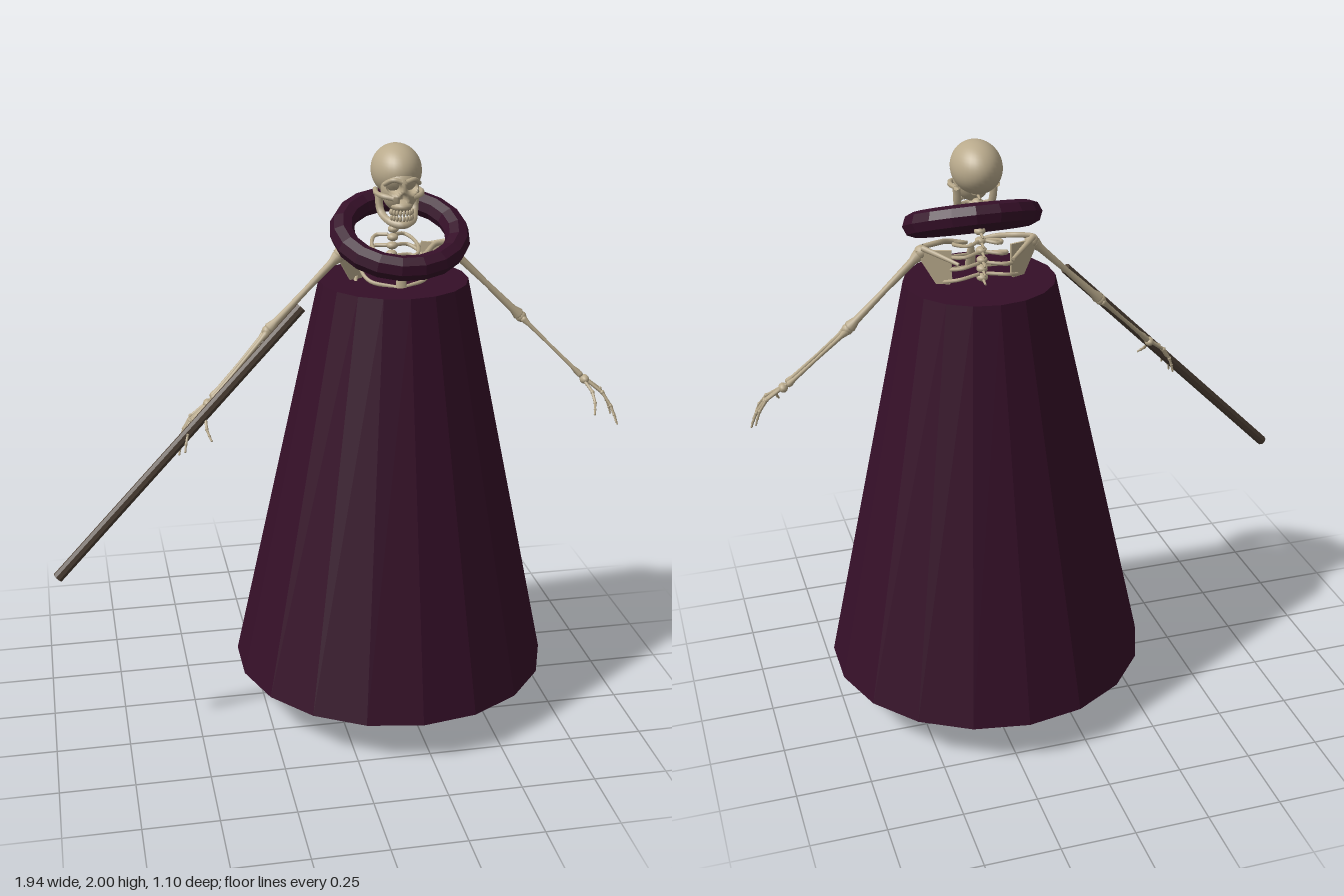
import * as THREE from 'three';

const V = (x, y, z) => new THREE.Vector3(x, y, z);
const bone = new THREE.MeshStandardMaterial({ color: 0xb9aa8c, side: THREE.DoubleSide });
bone.name = 'bone';
const cloth = new THREE.MeshStandardMaterial({ color: 0x350f28, flatShading: true });
cloth.name = 'plumCloth';
const wood = new THREE.MeshStandardMaterial({ color: 0x4c3f34, flatShading: true });
wood.name = 'darkWood';

function add(parent, name, geometry, material = bone) {
  const m = new THREE.Mesh(geometry, material);
  m.name = name;
  parent.add(m);
  return m;
}

// Rod between two points, from radius r0 to r1
function rod(parent, name, a, b, r0, r1 = r0, sides = 10, material = bone) {
  const m = add(parent, name, new THREE.CylinderGeometry(r1, r0, a.distanceTo(b), sides), material);
  m.position.copy(a).lerp(b, 0.5);
  m.quaternion.setFromUnitVectors(V(0, 1, 0), b.clone().sub(a).normalize());
  return m;
}

// Ellipsoid
function ball(parent, name, p, rx, ry = rx, rz = rx, seg = 12) {
  const m = add(parent, name, new THREE.SphereGeometry(1, seg, Math.ceil(seg * 0.7)));
  m.position.copy(p);
  m.scale.set(rx, ry, rz);
  return m;
}

// Long bone: waisted shaft with knobbed ends
function longBone(parent, name, a, b, r) {
  const len = a.distanceTo(b);
  const profile = [[0, 0], [1.3, 0.01], [1.6, 0.04], [1.0, 0.12], [0.75, 0.5], [0.95, 0.88], [1.5, 0.96], [1.2, 0.99], [0, 1]];
  const pts = profile.map(([x, t]) => new THREE.Vector2(x * r, t * len));
  const m = add(parent, name, new THREE.LatheGeometry(pts, 10));
  m.position.copy(a);
  m.quaternion.setFromUnitVectors(V(0, 1, 0), b.clone().sub(a).normalize());
}

function tube(parent, name, points, r, seg = 20) {
  return add(parent, name, new THREE.TubeGeometry(new THREE.CatmullRomCurve3(points), seg, r, 6));
}

function buildSkull(body) {
  const g = new THREE.Group();
  g.name = 'skull';
  body.add(g);
  ball(g, 'cranium', V(0, 1.915, 0.015), 0.082, 0.085, 0.11, 32);

  // Face with eye sockets and nose pushed inward
  const face = new THREE.SphereGeometry(1, 64, 48);
  const p = face.attributes.position;
  for (let i = 0; i < p.count; i++) {
    const x = p.getX(i) * 0.062, y = 1.868 + p.getY(i) * 0.08;
    let z = 0.07 + p.getZ(i) * 0.068;
    if (p.getZ(i) > 0) {
      const eye = Math.hypot((Math.abs(x) - 0.03) / 0.019, (y - 1.876) / 0.018);
      const nose = Math.hypot(x / (0.011 + (1.85 - y) * 0.2), (y - 1.842) / 0.018);
      if (eye < 1.2) z -= 0.045 * Math.min(1, (1.2 - eye) * 2);
      if (nose < 1.1) z -= 0.03 * Math.min(1, (1.1 - nose) * 2);
    }
    p.setXYZ(i, x, y, z);
  }
  face.computeVertexNormals();
  add(g, 'face', face);

  ball(g, 'upperJaw', V(0, 1.815, 0.095), 0.037, 0.02, 0.043, 16);
  tube(g, 'lowerJaw', [V(-0.062, 1.845, 0.03), V(-0.056, 1.785, 0.045), V(-0.035, 1.762, 0.1), V(0, 1.757, 0.128),
    V(0.035, 1.762, 0.1), V(0.056, 1.785, 0.045), V(0.062, 1.845, 0.03)], 0.013, 30);
  for (let i = 0; i < 9; i++) {
    const a = (i - 4) * 0.3;
    for (const y of [1.797, 1.779]) {
      ball(g, 'tooth', V(Math.sin(a) * 0.037, y, 0.094 + Math.cos(a) * 0.043), 0.0055, 0.01, 0.006, 8);
    }
  }
  for (const s of [-1, 1]) {
    tube(g, 'cheekArch', [V(s * 0.03, 1.843, 0.122), V(s * 0.062, 1.848, 0.1), V(s * 0.075, 1.85, 0.06), V(s * 0.068, 1.852, 0.01)], 0.009);
    tube(g, 'brow', [V(s * 0.006, 1.897, 0.134), V(s * 0.033, 1.904, 0.126), V(s * 0.058, 1.886, 0.1)], 0.008);
  }
}

function buildTorso(body) {
  for (let i = 0; i < 14; i++) {
    const y = 1.83 - i * 0.03, z = 0.015 - 0.05 * Math.min(1, i / 7);
    ball(body, 'vertebra', V(0, y, z), 0.019, 0.013, 0.019);
    rod(body, 'vertebraSpine', V(0, y, z), V(0, y - 0.012, z - 0.04), 0.007, 0.003, 6);
  }
  const breast = ball(body, 'breastbone', V(0, 1.55, 0.115), 0.018, 0.085, 0.009);
  breast.rotation.x = -0.2;
  for (const s of [-1, 1]) {
    for (let i = 0; i < 6; i++) {
      const w = Math.min(0.132, 0.075 + i * 0.018), y = 1.685 - i * 0.037, d = 0.05 + i * 0.008;
      tube(body, 'rib', [V(s * 0.012, y, -0.04), V(s * w * 0.65, y - 0.005, -0.06), V(s * w, y - d * 0.4, 0),
        V(s * w * 0.85, y - d * 0.8, 0.07), V(s * 0.015, y - d, 0.1 + i * 0.005)], 0.0065, 24);
    }
    tube(body, 'collarBone', [V(s * 0.018, 1.63, 0.105), V(s * 0.075, 1.645, 0.1), V(s * 0.13, 1.665, 0.04), V(s * 0.18, 1.665, 0.02)], 0.009);

    // Shoulder blade: thin triangular plate with a ridge
    const shape = new THREE.Shape([[0.06, 1.66], [0.175, 1.655], [0.155, 1.615], [0.085, 1.5], [0.06, 1.56]]
      .map(([x, y]) => new THREE.Vector2(s * x, y)));
    const blade = add(body, 'shoulderBlade', new THREE.ExtrudeGeometry(shape, { depth: 0.008, bevelEnabled: false }));
    blade.position.set(s * 0.045, 0, -0.055);
    blade.rotation.y = s * -0.4;
    rod(body, 'bladeRidge', V(s * 0.09, 1.63, -0.085), V(s * 0.185, 1.665, 0.005), 0.006, 0.01, 8);
  }
}

function buildArm(body, s) {
  const g = new THREE.Group();
  g.name = s > 0 ? 'leftArm' : 'rightArm';
  body.add(g);
  const shoulder = V(s * 0.185, 1.645, 0.025), elbow = V(s * 0.435, 1.4, 0.045), wrist = V(s * 0.635, 1.2, 0.115);
  ball(g, 'shoulderJoint', shoulder, 0.024);
  longBone(g, 'upperArm', shoulder, elbow, 0.0135);
  ball(g, 'elbowJoint', elbow, 0.019);
  for (const o of [-0.01, 0.01]) {
    longBone(g, 'forearm', elbow.clone().add(V(0, 0, o)), wrist.clone().add(V(0, 0, o * 1.2)), 0.0075);
  }
  ball(g, 'wristBones', wrist.clone().add(V(s * 0.012, -0.013, 0.006)), 0.016, 0.016, 0.022);
  const tips = [[0.745, 1.06, 0.13], [0.757, 1.04, 0.16], [0.752, 1.04, 0.185], [0.735, 1.06, 0.215], [0.65, 1.1, 0.235]];
  tips.forEach(([x, y, z], i) => {
    const tip = V(s * x, y, z);
    let last = wrist;
    [0.45, 0.72, 0.88, 1].forEach((t, j) => {
      const next = wrist.clone().lerp(tip, t);
      const bulge = 0.02 * Math.sin(t * Math.PI);
      next.add(V(s * bulge, i < 4 ? bulge * 0.6 : 0, 0));
      rod(g, 'fingerBone', last, next, 0.0065 - j * 0.001, 0.005 - j * 0.0006, 7);
      ball(g, 'knuckle', next, 0.0075 - j * 0.0012, undefined, undefined, 8);
      last = next;
    });
  });
}

function buildLeg(body, s) {
  const g = new THREE.Group();
  g.name = s > 0 ? 'leftLeg' : 'rightLeg';
  body.add(g);
  const x = s * 0.12;
  longBone(g, 'shin', V(x - s * 0.008, 0.08, 0.035), V(x, 0.5, 0.03), 0.016);
  longBone(g, 'calfBone', V(x + s * 0.02, 0.08, 0.025), V(x + s * 0.02, 0.5, 0.02), 0.01);
  ball(g, 'ankle', V(x, 0.055, 0.035), 0.025, 0.02, 0.03);
  const heel = ball(g, 'heel', V(x, 0.031, -0.002), 0.022, 0.021, 0.042);
  heel.rotation.x = 0.25;
  ball(g, 'instep', V(x, 0.044, 0.062), 0.028, 0.017, 0.04);
  for (let i = 0; i < 5; i++) {
    const k = i - 2, end = 0.23 - i * 0.012, big = i === 0 ? 1.4 : 1;
    const a = V(x + s * k * 0.009, 0.043, 0.07), b = V(x + s * k * 0.015, 0.018, 0.155 - i * 0.006);
    const c = V(x + s * k * 0.017, 0.016, (b.z + end) / 2), d = V(x + s * k * 0.018, 0.01, end);
    rod(g, 'footBone', a, b, 0.009 * big, 0.007 * big, 8);
    rod(g, 'toeBone', b, c, 0.007 * big, 0.005 * big, 8);
    rod(g, 'toeTip', c, d, 0.006 * big, 0.003 * big, 8);
    ball(g, 'toeJoint', b, 0.01 * big, undefined, undefined, 8);
    ball(g, 'toeJoint', c, 0.007 * big, undefined, undefined, 8);
  }
}

export function createModel() {
  const model = new THREE.Group();
  model.name = 'robedSkeleton';
  const body = new THREE.Group();
  body.name = 'body';
  body.position.x = 0.213;
  model.add(body);

  // Closed conical robe and tilted collar ring
  add(body, 'robe', new THREE.CylinderGeometry(0.25, 0.55, 1.395, 18), cloth).position.y = 0.8475;
  const collar = add(body, 'collar', new THREE.TorusGeometry(0.19, 0.041, 8, 18).rotateX(Math.PI / 2), cloth);
  collar.position.set(0, 1.72, 0.08);
  collar.rotation.x = 0.385;

  buildSkull(body);
  buildTorso(body);
  for (const s of [-1, 1]) {
    buildArm(body, s);
    buildLeg(body, s);
  }

  rod(model, 'staff', V(-0.12, 1.498, 0.118), V(-0.957, 0.657, 0.24), 0.018, 0.018, 8, wood);
  return model;
}
